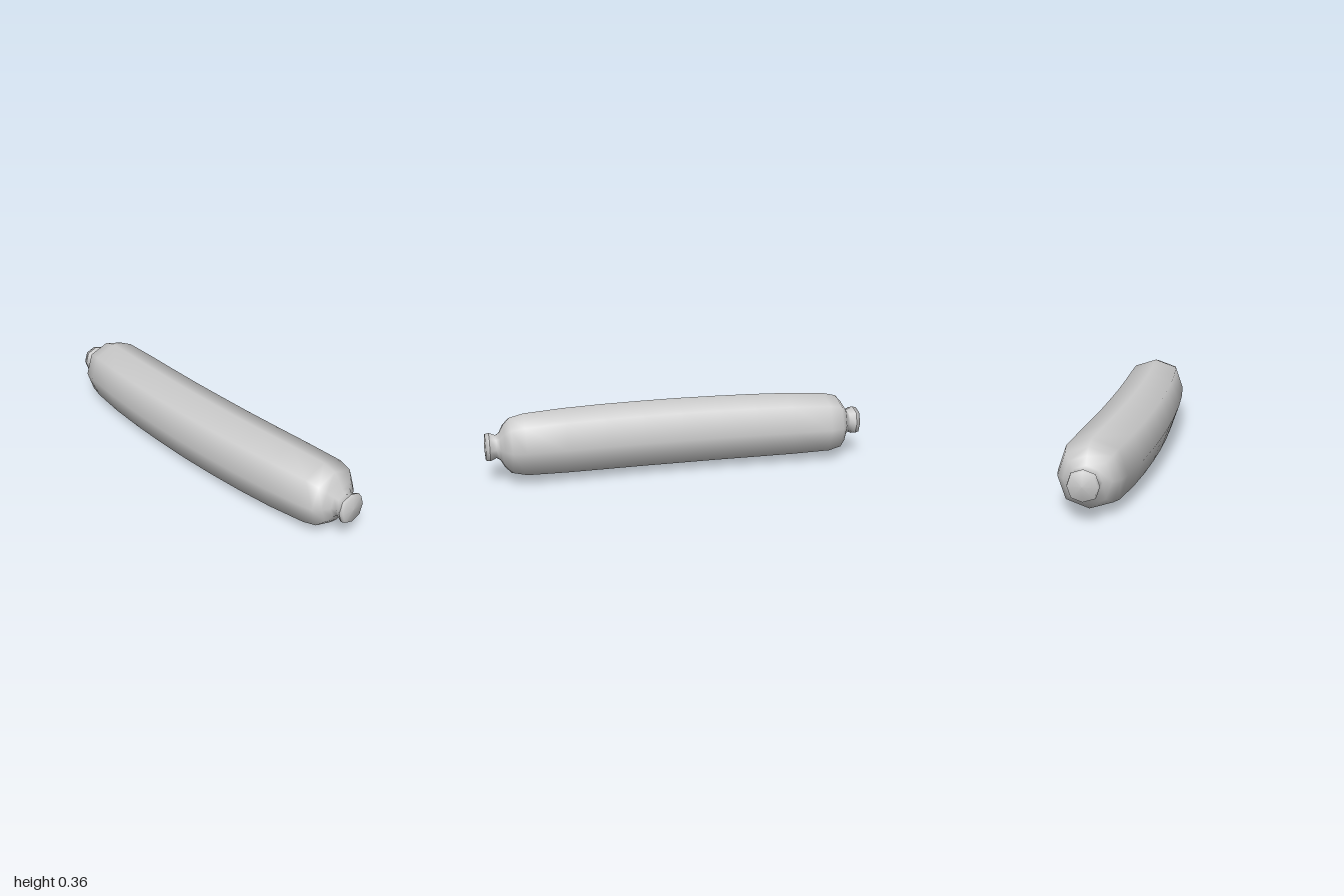
import * as THREE from 'three';

const SIDES = 8;
const MID_Y = 0.18;

// Gentle backward bend of the centre line
const bend = (x) => 0.01 - 0.0625 * Math.min(Math.abs(x), 0.8) ** 2;

// Skins eight-sided rings [x, radius], listed in order of increasing x
function skin(name, rings, material) {
  const pos = [];
  const index = [];
  for (const [x, r] of rings) {
    for (let j = 0; j < SIDES; j++) {
      const a = (j / SIDES) * Math.PI * 2;
      const rr = j % 2 ? r * 1.055 : r; // slightly squared section
      pos.push(x, MID_Y + rr * Math.sin(a), bend(x) + rr * Math.cos(a));
    }
  }
  for (let i = 0; i < rings.length - 1; i++) {
    for (let j = 0; j < SIDES; j++) {
      const k = (j + 1) % SIDES;
      const a = i * SIDES + j, d = i * SIDES + k;
      const b = a + SIDES, c = d + SIDES;
      index.push(a, b, d, b, c, d);
    }
  }
  const geo = new THREE.BufferGeometry();
  geo.setAttribute('position', new THREE.Float32BufferAttribute(pos, 3));
  geo.setIndex(index);
  geo.computeVertexNormals();
  const mesh = new THREE.Mesh(geo, material);
  mesh.name = name;
  return mesh;
}

const mirrored = (rings) => rings.map(([x, r]) => [-x, r]).reverse();

export function createModel() {
  const group = new THREE.Group();
  group.name = 'sausage';
  const material = new THREE.MeshStandardMaterial({ color: 0xcccccc });

  // Casing: long bent body, rounded shoulders, pinched neck, flared end
  const half = [
    [0.2, 0.177], [0.4, 0.1755], [0.6, 0.172], [0.8, 0.163],
    [0.87, 0.146], [0.902, 0.112], [0.922, 0.074], [0.942, 0.06], [0.975, 0.075],
  ];
  group.add(skin('casing', [...mirrored(half), [0, 0.178], ...half], material));

  // End caps of the tied tips
  const cap = [[0.975, 0.075], [0.995, 0.07], [1, 0.0005]];
  group.add(skin('leftTip', cap, material));
  group.add(skin('rightTip', mirrored(cap), material));
  return group;
}
